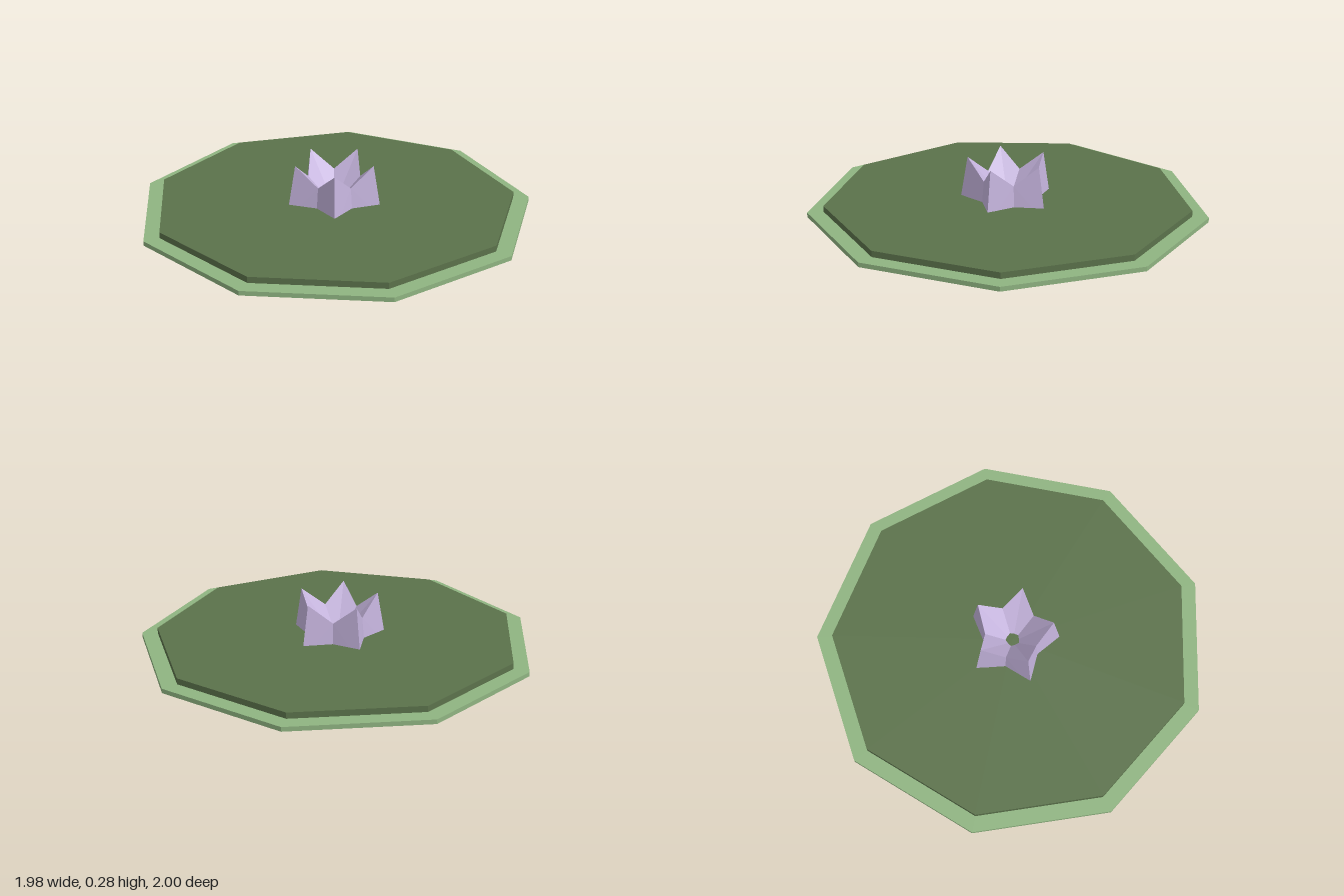
import * as THREE from 'three';

export function createModel() {
  const material = (name, color) => {
    const m = new THREE.MeshStandardMaterial({ color });
    m.name = name;
    return m;
  };
  const rimGreen = material('light green', 0x8fb481);
  const leafGreen = material('leaf green', 0x5b724b);
  const lilac = material('lilac', 0xc4b3dc);

  const model = new THREE.Group();
  model.name = 'waterLily';
  const centre = new THREE.Group();
  centre.name = 'leafAndFlower';
  centre.position.set(0.019, 0, -0.01);
  model.add(centre);

  const add = (name, geometry, mat) => {
    const mesh = new THREE.Mesh(geometry, mat);
    mesh.name = name;
    centre.add(mesh);
  };

  // Nine-sided leaf: a wide pale slab with a smaller dark slab on it
  const slab = (radius, bottom, top) => {
    const g = new THREE.CylinderGeometry(radius, radius, top - bottom, 9, 1, false, 1.27).toNonIndexed();
    g.translate(0, (top + bottom) / 2, 0);
    g.computeVertexNormals();
    return g;
  };
  add('leafRim', slab(1.015, 0.022, 0.045), rimGreen);
  add('leafTop', slab(0.933, 0.044, 0.076), leafGreen);

  // Star-shaped flower: five petals around a funnel, tapering upward
  const positions = [];
  const point = (radius, y, angle) => [radius * Math.cos(angle), y, radius * Math.sin(angle)];
  const triangle = (a, b, c) => positions.push(...a, ...b, ...c);
  const funnel = [0, 0.038, 0];
  const base = [0, 0.035, 0];
  for (let i = 0; i < 5; i++) {
    const angle = (i * Math.PI * 2) / 5;
    const tip = point(0.207, 0.283, angle);
    const foot = point(0.255, 0, angle);
    for (const side of [-1, 1]) {
      const a = angle + (side * Math.PI) / 5;
      const notch = point(0.14, 0.183, a);
      const notchFoot = point(0.153, 0.045, a);
      // Reverse the corner order on the mirrored half
      const face = (p, q, r) => (side > 0 ? triangle(p, q, r) : triangle(p, r, q));
      face(funnel, notch, tip);
      face(tip, notch, foot);
      face(notch, notchFoot, foot);
      face(base, foot, notchFoot);
    }
  }
  const flower = new THREE.BufferGeometry();
  flower.setAttribute('position', new THREE.Float32BufferAttribute(positions, 3));
  flower.computeVertexNormals();
  add('flower', flower, lilac);

  return model;
}
